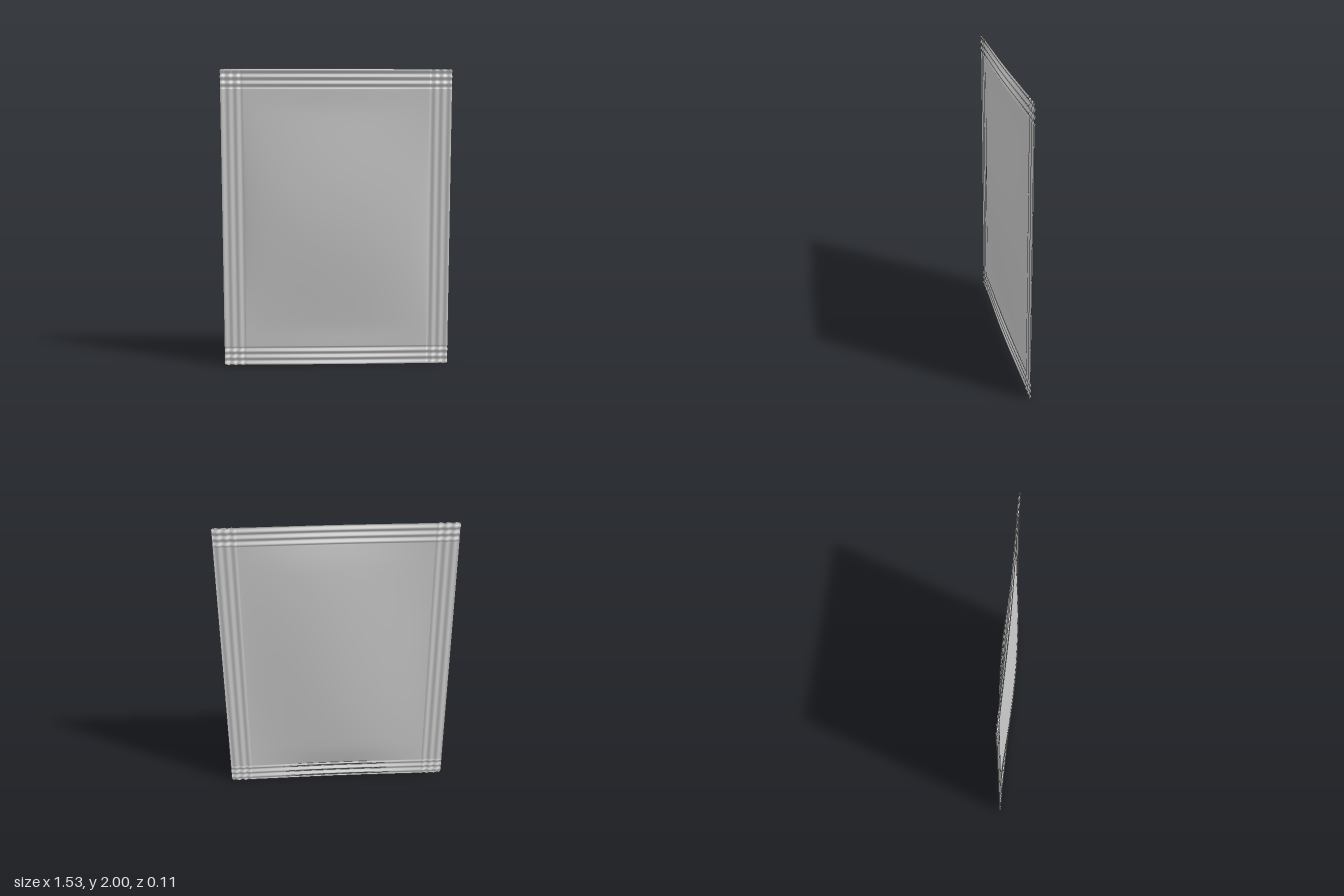
import * as THREE from 'three';

const HALF_W = 0.765, HALF_H = 1;
const SEAL_X = 0.15, SEAL_Y = 0.13; // widths of the crimped borders
const CORNER = 0.015, BULGE = 0.052, FILM = 0.0015;

// Grid positions from -half to half, dense in the crimped borders
function samples(half, seal) {
  const list = [], fine = 32, coarse = 36, inner = half - seal;
  for (let i = 0; i < fine; i++) list.push(-half + seal * i / fine);
  for (let i = 0; i <= coarse; i++) list.push(-inner * Math.cos(Math.PI * i / coarse));
  for (let i = 1; i <= fine; i++) list.push(inner + seal * i / fine);
  return list;
}

// Crimp wave: distance d in from the edge, fading out at the pillow
function crimp(d, seal, waves) {
  return d < seal ? Math.sin(2 * Math.PI * waves * d / seal) : 0;
}

// Full and tapering profiles of the pillow, t from -1 to 1
const full = t => Math.pow(Math.max(0, 1 - t * t), 0.8);
const taper = t => Math.abs(t) < 1 ? Math.pow(Math.cos(t * Math.PI / 2), 1.4) : 0;

// Shared middle surface of the two films
function middle(x, y) {
  const bow = Math.pow(Math.cos(x / HALF_W * Math.PI / 2), 2);
  const dx = HALF_W - Math.abs(x), dy = HALF_H - Math.abs(y);
  const inSeal = 1 - THREE.MathUtils.smoothstep(dy, SEAL_Y, SEAL_Y + 0.15);
  return 0.0035 * crimp(dx, SEAL_X, 3)
    + (0.004 + 0.004 * bow) * crimp(dy, SEAL_Y, 3)
    + 0.007 * bow * inSeal;
}

// One film of the pouch; side is +1 for the front, -1 for the back
function filmGeometry(side) {
  const xs = samples(HALF_W, SEAL_X), ys = samples(HALF_H, SEAL_Y);
  const positions = [], index = [], n = xs.length;
  ys.forEach((y, j) => {
    // rounded corners narrow the outermost rows
    const c = Math.max(0, Math.abs(y) - HALF_H + CORNER);
    const w = HALF_W - CORNER + Math.sqrt(Math.max(0, CORNER * CORNER - c * c));
    xs.forEach((x, i) => {
      const u = x / (HALF_W - SEAL_X), v = y / (HALF_H - SEAL_Y);
      const puff = side > 0 ? full(u) * taper(v) : taper(u) * full(v);
      const rim = i === 0 || j === 0 || i === n - 1 || j === ys.length - 1;
      const z = middle(x, y) + side * (BULGE * puff + (rim ? 0 : FILM));
      positions.push(x * w / HALF_W, y + HALF_H, z);
      if (i < n - 1 && j < ys.length - 1) {
        const a = j * n + i, b = a + 1, d = a + n, e = d + 1;
        if (side > 0) index.push(a, b, e, a, e, d);
        else index.push(a, e, b, a, d, e);
      }
    });
  });
  const geometry = new THREE.BufferGeometry();
  geometry.setAttribute('position', new THREE.Float32BufferAttribute(positions, 3));
  geometry.setIndex(index);
  geometry.computeVertexNormals();
  return geometry;
}

export function createModel() {
  const group = new THREE.Group();
  group.name = 'pouch';
  const material = new THREE.MeshStandardMaterial({ color: 0xcccccc, side: THREE.DoubleSide });
  for (const [name, side] of [['frontFilm', 1], ['backFilm', -1]]) {
    const mesh = new THREE.Mesh(filmGeometry(side), material);
    mesh.name = name;
    group.add(mesh);
  }
  return group;
}
